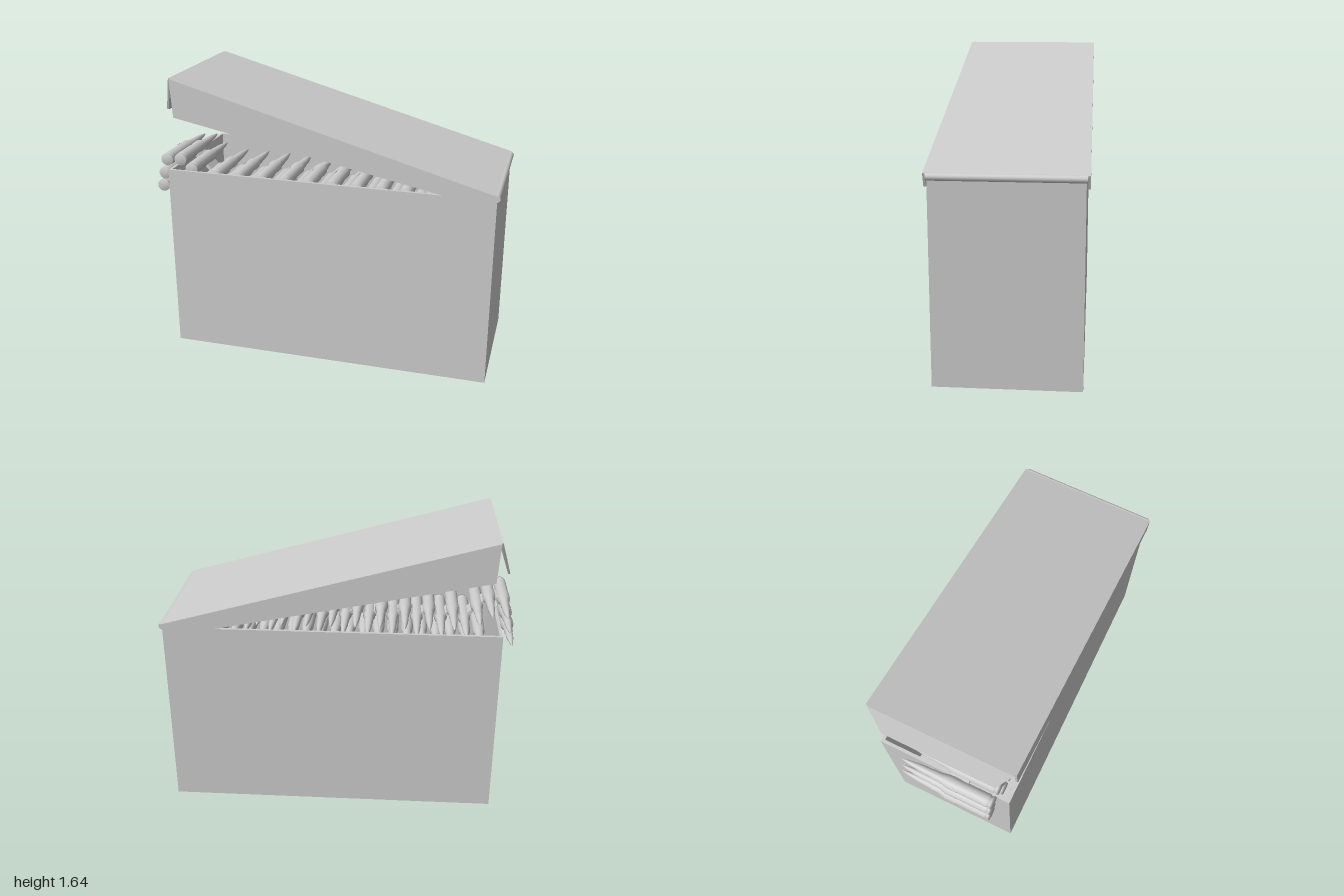
import * as THREE from 'three';

const grey = new THREE.MeshStandardMaterial({ color: 0xcccccc, side: THREE.DoubleSide });

function add(parent, name, geometry, x = 0, y = 0, z = 0) {
  const mesh = new THREE.Mesh(geometry, grey);
  mesh.name = name;
  mesh.position.set(x, y, z);
  parent.add(mesh);
  return mesh;
}

// Extrude an outline along z from z0 to z1
function slab(points, z0, z1) {
  const shape = new THREE.Shape(points.map(([x, y]) => new THREE.Vector2(x, y)));
  const geometry = new THREE.ExtrudeGeometry(shape, { depth: z1 - z0, bevelEnabled: false });
  return geometry.translate(0, 0, z0);
}

// Open-topped container with thin walls
function createBox() {
  const box = new THREE.Group();
  box.name = 'box';
  const x0 = -0.89, x1 = 0.98, h = 1.1, d = 0.39, t = 0.018;
  const mid = (x0 + x1) / 2, w = x1 - x0;
  add(box, 'floor', new THREE.BoxGeometry(w, t, 2 * d), mid, t / 2, 0);
  for (const s of [-1, 1]) {
    add(box, 'longWall', new THREE.BoxGeometry(w, h, t), mid, h / 2, s * (d - t / 2));
    add(box, 'endWall', new THREE.BoxGeometry(t, h, 2 * (d - t)), mid + s * (w - t) / 2, h / 2, 0);
  }
  return box;
}

// Half-open lid with side skirts and a bent end flap
function createLid() {
  const lid = new THREE.Group();
  lid.name = 'lid';
  add(lid, 'lidPanel', slab([[-0.84, 1.635], [0.985, 1.127], [0.981, 1.113], [-0.844, 1.621]], -0.402, 0.402));
  const skirt = [[-0.84, 1.635], [0.98, 1.128], [0.955, 1.055], [-0.79, 1.41], [-0.827, 1.418]];
  add(lid, 'frontSkirt', slab(skirt, 0.397, 0.41));
  add(lid, 'backSkirt', slab(skirt, -0.41, -0.397));

  const flap = new THREE.Group();
  flap.name = 'endFlap';
  flap.position.set(-0.842, 1.635, 0);
  flap.rotation.z = -0.29;
  const plate = slab([[-0.4, 0], [0.4, 0], [0.32, -0.204], [-0.32, -0.204]], -0.006, 0.006);
  add(flap, 'flapPlate', plate).rotation.y = Math.PI / 2;
  lid.add(flap);
  return lid;
}

// Round profile along the axis: rim, case, shoulder, neck and pointed tip
function cartridgeGeometry() {
  const profile = [
    [0, 0.32], [0.036, 0.32], [0.036, 0.307], [0.031, 0.303], [0.031, 0.295], [0.037, 0.288],
    [0.035, 0.04], [0.025, 0], [0.025, -0.04], [0.022, -0.05],
    [0.021, -0.1], [0.016, -0.15], [0.009, -0.2], [0, -0.235],
  ].map(([r, z]) => new THREE.Vector2(r, z));
  const parts = new THREE.LatheGeometry(profile.reverse(), 18);
  return parts.rotateX(Math.PI / 2);
}

// Belt hanging over the end, then running zigzag inside the box
function createBelt() {
  const belt = new THREE.Group();
  belt.name = 'belt';
  const path = [[-0.963, 0.975], [-0.948, 1.052], [-0.93, 1.136], [-0.846, 1.143], [-0.78, 1.09]];
  for (let i = 0; i < 24; i++) path.push([-0.71 + i * 0.07, i % 2 ? 1.058 : 1.012]);

  const round = cartridgeGeometry();
  const ring = new THREE.CylinderGeometry(0.038, 0.038, 0.07, 16, 1, true).rotateX(Math.PI / 2);
  path.forEach(([x, y], i) => {
    add(belt, 'cartridge', round, x, y, 0);
    add(belt, 'linkRing', ring, x, y, 0.08);
    if (i === 0) return;
    const [px, py] = path[i - 1];
    const length = Math.hypot(x - px, y - py);
    const link = add(belt, 'linkPlate', new THREE.BoxGeometry(length, 0.02, 0.11), (x + px) / 2, (y + py) / 2, 0.1);
    link.rotation.z = Math.atan2(y - py, x - px);
  });

  // Folded layer lying underneath
  for (let i = 0; i < 21; i++) add(belt, 'lowerCartridge', round, -0.8 + i * 0.085, 0.93, 0);
  return belt;
}

export function createModel() {
  const model = new THREE.Group();
  model.name = 'cartridgeBox';
  model.add(createBox(), createLid(), createBelt());
  add(model, 'hinge', new THREE.CylinderGeometry(0.02, 0.02, 0.79, 16).rotateX(Math.PI / 2), 0.977, 1.11, 0);
  return model;
}
